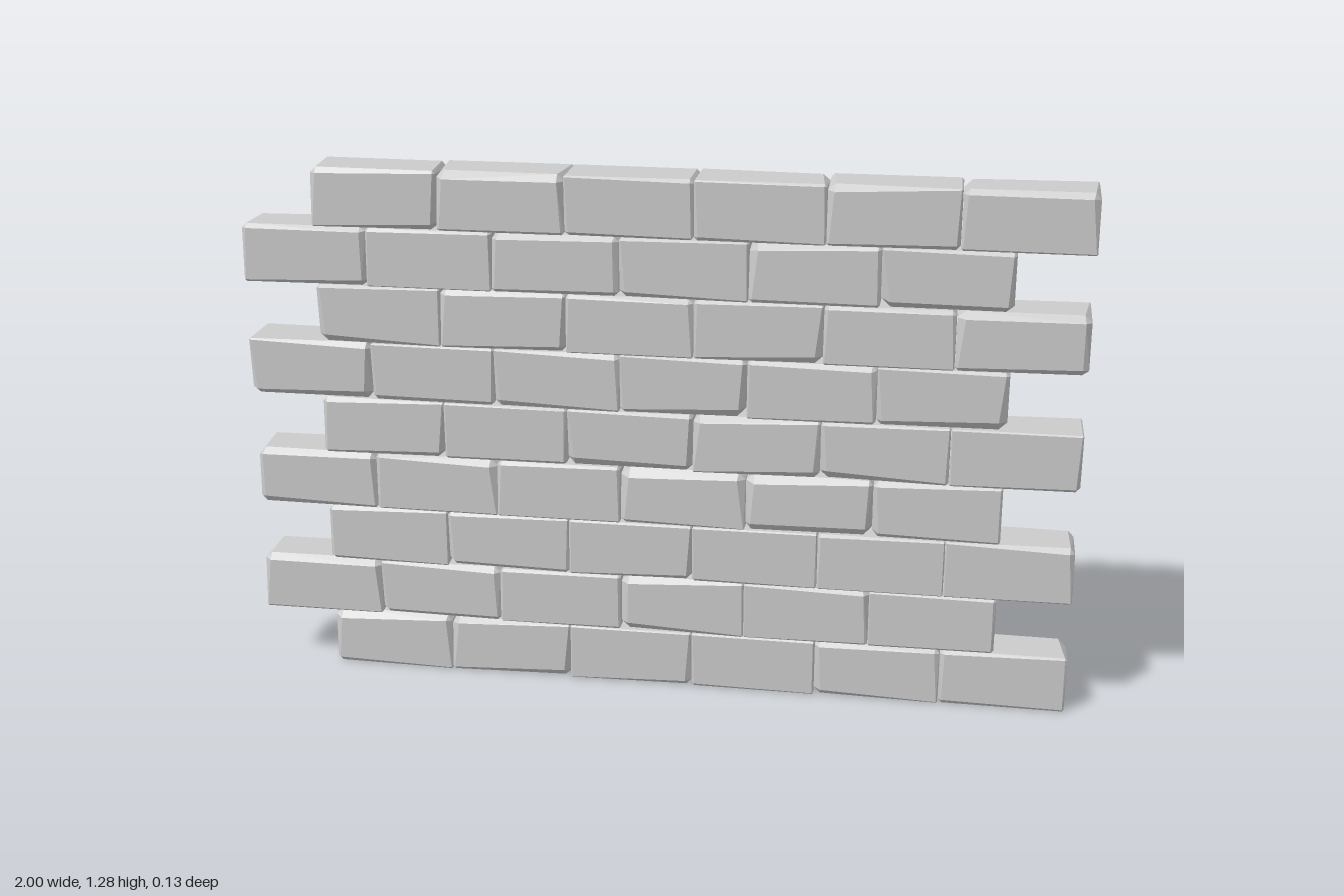
import * as THREE from 'three';
import { ConvexGeometry } from 'three/addons/geometries/ConvexGeometry.js';

const ROWS = 9, PER_ROW = 6;
const LENGTH = 0.304, HEIGHT = 0.142, DEPTH = 0.132;

// Small seeded generator for the uneven wear of each brick
function seeded(seed) {
  let s = seed;
  return () => (s = (s * 16807) % 2147483647) / 2147483647;
}

// Brick with every corner worn down by its own amount
function brickGeometry(random) {
  const half = [LENGTH / 2 - 0.0005, HEIGHT / 2 - 0.0003, DEPTH / 2];
  const points = [];
  for (const sx of [-1, 1]) for (const sy of [-1, 1]) for (const sz of [-1, 1]) {
    const signs = [sx, sy, sz];
    const wear = 0.003 + 0.017 * random() ** 2;
    // One point on each of the three faces that meet at this corner
    for (let face = 0; face < 3; face++) {
      const p = half.map((h, axis) => signs[axis] * (axis === face ? h : h - wear * (0.8 + 0.4 * random())));
      points.push(new THREE.Vector3(...p));
    }
  }
  return new ConvexGeometry(points);
}

export function createModel() {
  const wall = new THREE.Group();
  wall.name = 'brickWall';
  const material = new THREE.MeshStandardMaterial({ color: 0xcccccc, flatShading: true });
  const random = seeded(4211);

  // Running bond: courses alternately flush with the +x and -x end
  for (let row = 0; row < ROWS; row++) {
    const course = new THREE.Group();
    course.name = `course${row + 1}`;
    const start = row % 2 === 0 ? 1 - PER_ROW * LENGTH : -1;
    for (let i = 0; i < PER_ROW; i++) {
      const brick = new THREE.Mesh(brickGeometry(random), material);
      brick.name = 'brick';
      brick.position.x = start + (i + 0.5) * LENGTH;
      course.add(brick);
    }
    course.position.y = (row + 0.5) * HEIGHT;
    wall.add(course);
  }
  return wall;
}
